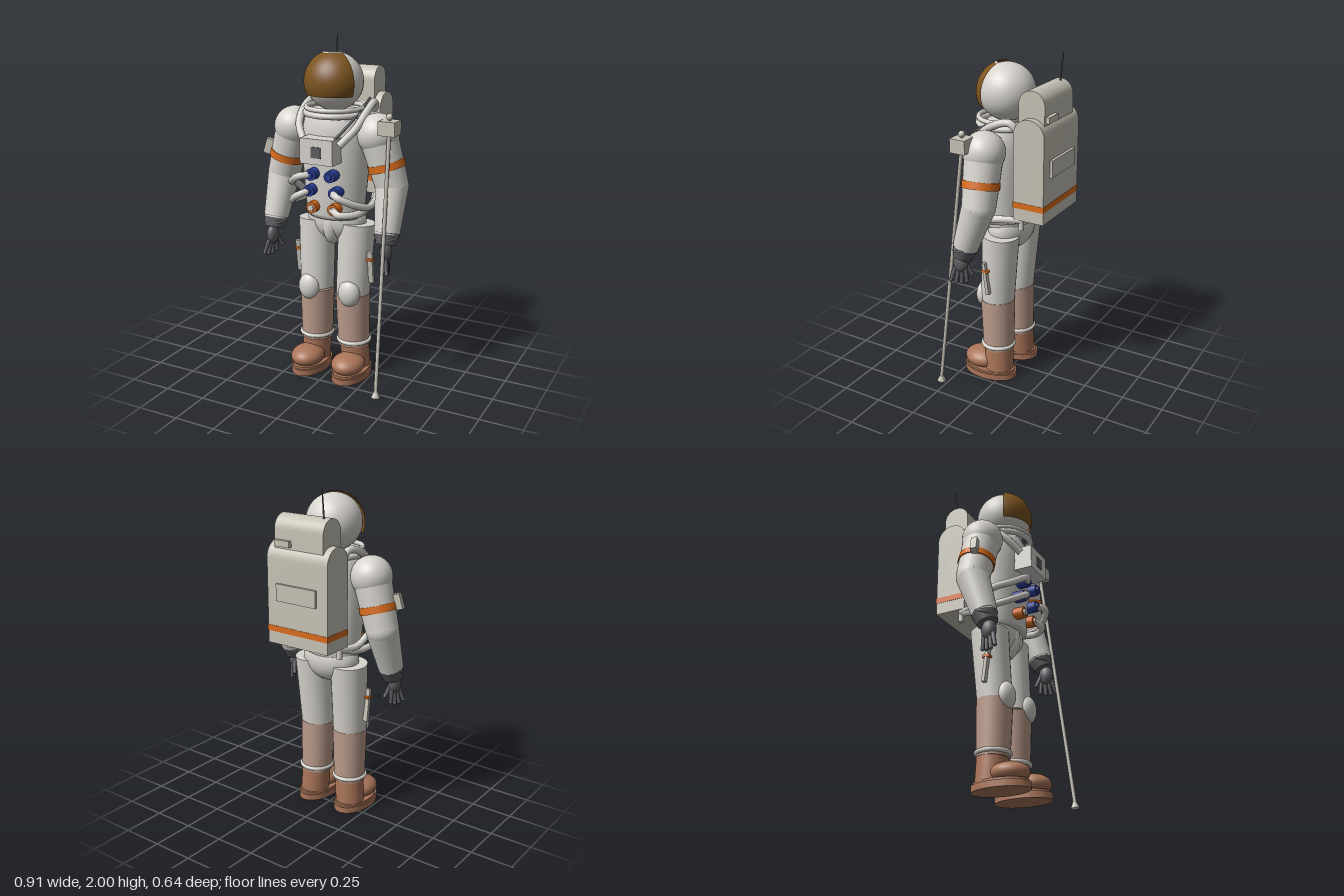
import * as THREE from 'three';
import { toCreasedNormals } from 'three/addons/utils/BufferGeometryUtils.js';

const V = (x, y, z) => new THREE.Vector3(x, y, z);

export function createModel() {
  const root = new THREE.Group();
  root.name = 'astronaut';
  const mat = (name, color, side = THREE.FrontSide) => {
    const m = new THREE.MeshStandardMaterial({ color, side });
    m.name = name;
    return m;
  };
  const suit = mat('suit white', 0xd6d3cd);
  const pack = mat('equipment grey', 0xc6c2b6);
  const gold = mat('visor gold', 0x7c5420, THREE.DoubleSide);
  const orange = mat('orange', 0xd96c1c);
  const shinDust = mat('light dust', 0xba9b8b);
  const bootDust = mat('boot dust', 0xaa7559);
  const dark = mat('glove grey', 0x5f5d62);
  const blue = mat('connector blue', 0x2c409c);

  const add = (name, geo, material, x = 0, y = 0, z = 0) => {
    const m = new THREE.Mesh(geo, material);
    m.name = name;
    m.position.set(x, y, z);
    root.add(m);
    return m;
  };
  const box = (name, w, h, d, material, x, y, z) =>
    add(name, new THREE.BoxGeometry(w, h, d), material, x, y, z);
  const ball = (name, rx, ry, rz, material, x, y, z) => {
    const m = add(name, new THREE.SphereGeometry(1, 32, 20), material, x, y, z);
    m.scale.set(rx, ry, rz);
    return m;
  };
  // Tapered cylinder running from a to b
  const rod = (name, a, b, ra, rb, material, sides = 28) => {
    const d = b.clone().sub(a);
    const m = add(name, new THREE.CylinderGeometry(rb, ra, d.length(), sides), material);
    m.position.copy(a).addScaledVector(d, 0.5);
    m.quaternion.setFromUnitVectors(V(0, 1, 0), d.normalize());
    return m;
  };
  const ring = (name, R, r, material, x, y, z) => {
    const m = add(name, new THREE.TorusGeometry(R, r, 12, 40), material, x, y, z);
    m.rotation.x = Math.PI / 2;
    return m;
  };
  const hose = (name, points, r, material) =>
    add(name, new THREE.TubeGeometry(new THREE.CatmullRomCurve3(points), 40, r, 10), material);
  const lathe = (name, profile, material, x, y, z) =>
    add(name, new THREE.LatheGeometry(profile.map(p => new THREE.Vector2(...p)), 36), material, x, y, z);

  // Helmet, visor and neck rings
  const hy = 1.772, hz = 0.042;
  ball('helmet', 0.165, 0.165, 0.165, suit, 0, hy, hz);
  const shell = (name, r, t0, t1, half, material) => add(name, new THREE.SphereGeometry(
    r, 40, 24, Math.PI / 2 - half, half * 2, t0, t1 - t0), material, 0, hy, hz);
  shell('visor', 0.177, 0.4, 1.98, 1.12, gold);
  shell('visorTopRim', 0.178, 0.33, 0.41, 1.14, suit);
  ring('neckRingUpper', 0.165, 0.014, suit, 0, 1.628, hz);
  ring('neckRingLower', 0.17, 0.018, suit, 0, 1.597, 0.036);

  // Torso and pelvis
  const torso = lathe('torso', [[0, 0.98], [0.165, 0.985], [0.178, 1.01], [0.187, 1.12], [0.198, 1.25],
    [0.205, 1.4], [0.202, 1.5], [0.185, 1.57], [0.16, 1.61], [0, 1.62]], suit, 0, 0, 0.03);
  torso.scale.z = 0.77;
  ball('pelvis', 0.185, 0.14, 0.122, suit, 0, 0.96, 0.014);
  ball('crotchPanel', 0.056, 0.12, 0.075, suit, 0, 0.935, 0.068);

  // Chest control box
  box('chestBox', 0.205, 0.145, 0.12, suit, 0, 1.408, 0.215);
  box('chestScreen', 0.062, 0.062, 0.008, dark, 0, 1.405, 0.277);

  // Backpack: round-topped blocks, stripe, plates and antenna
  const packBlock = (name, w, d, y0, y1, z) => {
    const r = d / 2, s = new THREE.Shape();
    s.moveTo(-r, y0);
    s.lineTo(r, y0);
    s.lineTo(r, y1 - r);
    s.absarc(0, y1 - r, r, 0, Math.PI, false);
    s.closePath();
    const g = new THREE.ExtrudeGeometry(s, { depth: w, bevelEnabled: false, curveSegments: 28 });
    g.translate(0, 0, -w / 2);
    g.rotateY(Math.PI / 2);
    add(name, toCreasedNormals(g, 0.6), pack, 0, 0, z);
  };
  packBlock('backpack', 0.42, 0.19, 1.1, 1.692, -0.21);
  packBlock('backpackUpper', 0.336, 0.16, 1.5, 1.842, -0.205);
  box('backpackStripe', 0.424, 0.035, 0.195, orange, 0, 1.19, -0.21);
  box('backpackPlate', 0.275, 0.1, 0.03, pack, 0, 1.41, -0.306);
  box('backpackLatch', 0.105, 0.036, 0.04, pack, 0.103, 1.688, -0.288);
  rod('antenna', V(-0.128, 1.8, -0.221), V(-0.128, 2, -0.24), 0.006, 0.003, dark, 10);

  for (const s of [-1, 1]) {
    const P = (x, y, z) => V(s * x, y, z);

    // Arm
    const shoulder = P(0.268, 1.49, 0.035), elbow = P(0.353, 1.2, 0.022), wrist = P(0.365, 0.935, 0.11);
    const axis = elbow.clone().sub(shoulder);
    ball('shoulder', 0.121, 0.121, 0.121, suit, ...shoulder.toArray());
    rod('upperArm', shoulder, elbow, 0.112, 0.097, suit);
    ball('elbow', 0.097, 0.097, 0.097, suit, ...elbow.toArray());
    rod('forearm', elbow, wrist, 0.097, 0.073, suit);
    rod('armBand', shoulder.clone().addScaledVector(axis, 0.53), shoulder.clone().addScaledVector(axis, 0.67),
      0.108, 0.109, orange);

    // Glove with fingers and thumb
    rod('gloveCuff', P(0.365, 0.945, 0.106), P(0.368, 0.88, 0.128), 0.075, 0.058, dark);
    ring('cuffRim', 0.066, 0.01, dark, s * 0.365, 0.938, 0.109).rotation.x = Math.PI / 2 + 0.33;
    ball('palm', 0.034, 0.06, 0.045, dark, s * 0.373, 0.837, 0.138);
    const finger = (name, a, b) => {
      rod(name, a, b, 0.014, 0.011, dark, 12);
      ball(name + 'Tip', 0.012, 0.012, 0.012, dark, ...b.toArray());
    };
    for (let i = 0; i < 4; i++)
      finger('finger', P(0.372 + i * 0.003, 0.81, 0.108 + i * 0.02),
        P(0.372 + i * 0.01, 0.73 - Math.sin(i) * 0.012, 0.1 + i * 0.03));
    finger('thumb', P(0.362, 0.84, 0.115), P(0.34, 0.765, 0.085));

    // Leg: clean thigh, dusty shin and ankle ring
    rod('thigh', P(0.12, 0.52, 0.042), P(0.131, 0.95, 0.014), 0.101, 0.111, suit);
    rod('shin', P(0.125, 0.19, 0.035), P(0.12, 0.52, 0.042), 0.095, 0.104, shinDust);
    ring('ankleRing', 0.094, 0.013, suit, s * 0.126, 0.217, 0.036);
    ball('kneePad', 0.068, 0.083, 0.05, suit, s * 0.133, 0.538, 0.122);

    // Thigh pocket with an orange tag
    box('thighPocket', 0.075, 0.2, 0.02, pack, s * 0.217, 0.697, 0.05).rotation.x = 0.13;
    box('pocketTag', 0.079, 0.014, 0.044, orange, s * 0.217, 0.747, 0.054);

    // Boot
    rod('bootShaft', P(0.137, 0.03, 0.026), P(0.128, 0.19, 0.032), 0.088, 0.088, bootDust);
    ball('bootToe', 0.099, 0.063, 0.115, bootDust, s * 0.138, 0.092, 0.14);
    const sole = (name, r, h, y) => {
      const m = add(name, new THREE.CylinderGeometry(r, r, h, 40), bootDust, s * 0.137, y, 0.088);
      m.scale.z = 0.174 / 0.108;
    };
    sole('sole', 0.108, 0.038, 0.019);
    sole('welt', 0.101, 0.016, 0.044);

    // Shoulder hose from backpack to chest box
    hose('shoulderHose', [P(0.175, 1.6, -0.13), P(0.19, 1.65, -0.08), P(0.2, 1.62, 0.03),
      P(0.178, 1.53, 0.14), P(0.11, 1.44, 0.21)], 0.022, suit);

    // Chest connectors
    const plug = (name, x, y, z, material) => {
      rod(name, P(x, y, 0.14), P(x, y, z), 0.034, 0.034, material, 12);
      rod(name + 'Core', P(x, y, z), P(x, y, z + 0.012), 0.02, 0.018, material === blue ? blue : suit, 12);
    };
    plug('upperConnector', 0.06, 1.262, 0.235, blue);
    plug('middleConnector', 0.08, 1.163, 0.222, blue);
    plug('lowerConnector', 0.068, 1.062, 0.21, orange);

    // Hoses around the waist to the bottom of the pack
    const top = s < 0 ? [0.06, 1.262, 1.17] : [0.08, 1.163, 1.075];
    hose('upperWaistHose', [P(top[0], top[1], 0.225), P(0.125, top[1] - 0.01, 0.255), P(0.205, top[2] + 0.03, 0.19),
      P(0.24, top[2], 0.09), P(0.225, 1.09, -0.04), P(0.18, 1.09, -0.15)], 0.021, suit);
    if (s < 0) hose('lowerWaistHose', [P(0.08, 1.163, 0.215), P(0.13, 1.14, 0.25), P(0.21, 1.085, 0.18),
      P(0.238, 1.062, 0.08), P(0.22, 1.06, -0.04), P(0.175, 1.09, -0.15)], 0.021, suit);
    else hose('lowerWaistHose', [P(0.068, 1.062, 0.205), P(0.12, 1.045, 0.23), P(0.2, 1.045, 0.16),
      P(0.22, 1.06, 0.05), P(0.205, 1.07, -0.05), P(0.17, 1.09, -0.15)], 0.021, suit);
    rod('packOutlet', P(0.18, 1.03, -0.15), P(0.18, 1.12, -0.15), 0.016, 0.016, suit, 14);
  }

  // Dark communication cable on the left
  hose('cable', [V(0.14, 1.66, -0.13), V(0.165, 1.64, 0), V(0.165, 1.59, 0.12), V(0.125, 1.52, 0.2),
    V(0.08, 1.47, 0.22)], 0.008, dark);

  // Pocket box on the right upper arm
  box('armBox', 0.055, 0.09, 0.036, pack, -0.42, 1.362, 0.07).rotation.set(0, 0.2, -0.28);

  // Hand-held pole with instrument head
  rod('pole', V(0.39, 0.02, 0.292), V(0.37, 1.55, 0.112), 0.011, 0.011, pack, 14);
  rod('poleFoot', V(0.39, 0, 0.292), V(0.39, 0.035, 0.288), 0.028, 0.012, pack, 8);
  box('poleHead', 0.1, 0.08, 0.095, pack, 0.37, 1.55, 0.112);
  rod('poleStem', V(0.37, 1.58, 0.112), V(0.37, 1.61, 0.112), 0.008, 0.008, pack, 12);
  ball('poleKnob', 0.019, 0.019, 0.019, pack, 0.37, 1.61, 0.112);

  return root;
}
